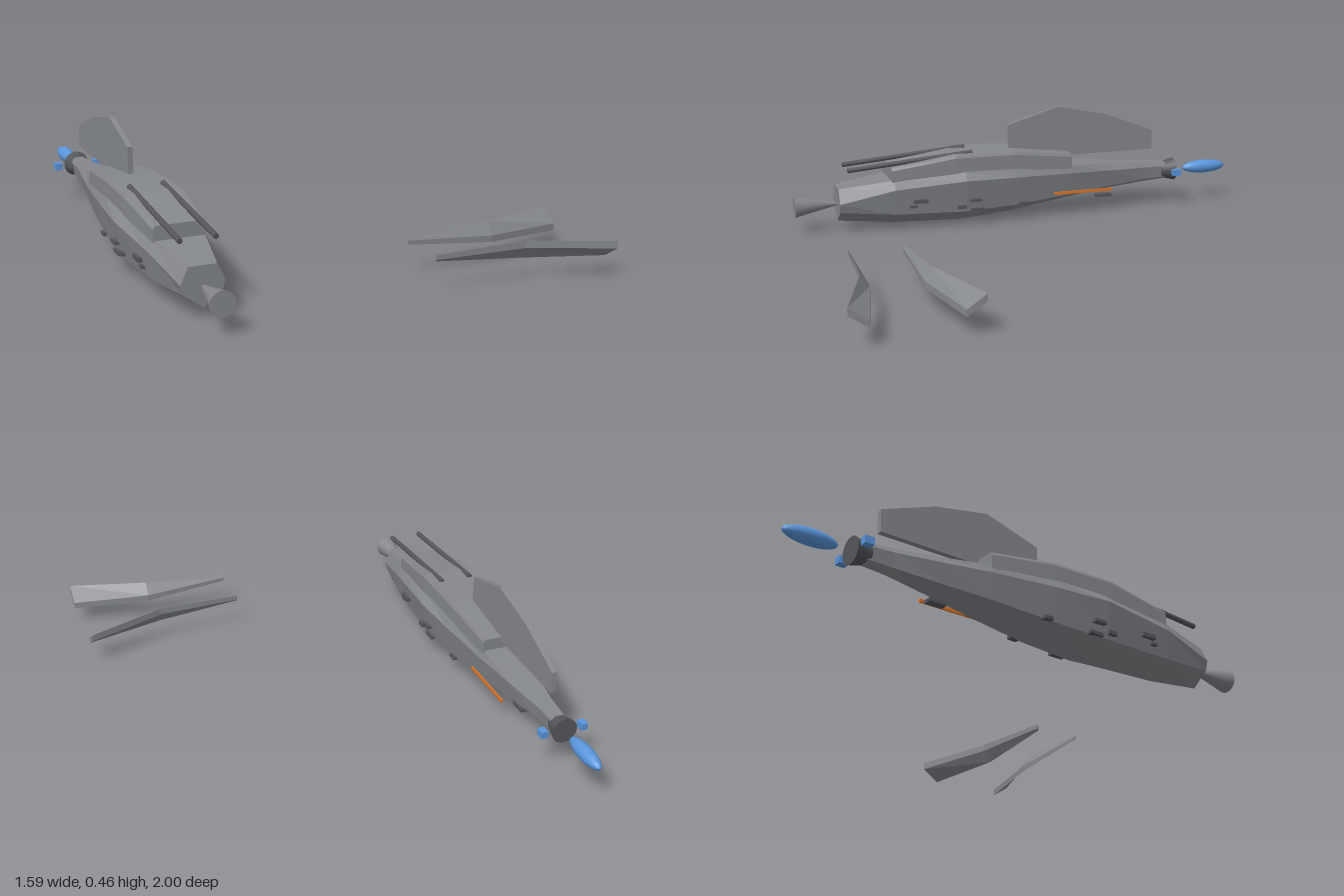
import * as THREE from 'three';

const mat = (name, color) => {
  const m = new THREE.MeshStandardMaterial({ color });
  m.name = name;
  return m;
};

// Faceted solid through rings of [x, y, z]; each ring is counter-clockwise seen from the far end
function loft(rings) {
  const pos = [];
  const tri = (a, b, c) => pos.push(...a, ...b, ...c);
  const n = rings[0].length;
  for (let i = 0; i < rings.length - 1; i++) {
    for (let j = 0; j < n; j++) {
      const k = (j + 1) % n;
      const [a, b, c, d] = [rings[i][j], rings[i][k], rings[i + 1][k], rings[i + 1][j]];
      tri(a, b, c);
      tri(a, c, d);
    }
  }
  const first = rings[0], last = rings[rings.length - 1];
  for (let j = 1; j < n - 1; j++) {
    tri(first[0], first[j + 1], first[j]);
    tri(last[0], last[j], last[j + 1]);
  }
  const g = new THREE.BufferGeometry();
  g.setAttribute('position', new THREE.Float32BufferAttribute(pos, 3));
  g.computeVertexNormals();
  return g;
}

export function createModel() {
  const grey = mat('hull grey', 0x85888d);
  const dark = mat('dark grey', 0x55575c);
  const blue = mat('engine blue', 0x5a96dc);
  const orange = mat('orange', 0xd9752b);

  const model = new THREE.Group();
  model.name = 'spacecraft';
  const ship = new THREE.Group();
  ship.name = 'ship';
  ship.position.x = -0.662;
  model.add(ship);

  const add = (parent, name, geo, material, x = 0, y = 0, z = 0) => {
    const m = new THREE.Mesh(geo, material);
    m.name = name;
    m.position.set(x, y, z);
    parent.add(m);
    return m;
  };

  // Hull: z, top half width and y, widest half width and y, low half width and y, keel y
  const hull = [
    [-0.70, 0.018, 0.188, 0.030, 0.170, 0.024, 0.122, 0.110],
    [-0.60, 0.022, 0.194, 0.035, 0.172, 0.028, 0.118, 0.103],
    [-0.42, 0.045, 0.207, 0.062, 0.178, 0.048, 0.105, 0.085],
    [-0.24, 0.078, 0.220, 0.090, 0.185, 0.072, 0.090, 0.060],
    [0.02, 0.100, 0.233, 0.118, 0.192, 0.095, 0.068, 0.020],
    [0.24, 0.108, 0.230, 0.134, 0.196, 0.105, 0.060, 0.002],
    [0.54, 0.092, 0.213, 0.112, 0.175, 0.092, 0.068, 0.014],
    [0.765, 0.050, 0.185, 0.078, 0.125, 0.066, 0.088, 0.040],
  ];
  add(ship, 'hull', loft(hull.map(([z, tw, ty, mw, my, lw, ly, ky]) => [
    [0, ky, z], [lw, ly, z], [mw, my, z], [tw, ty, z],
    [-tw, ty, z], [-mw, my, z], [-lw, ly, z],
  ])), grey);

  // Raised deck: z, base half width, top half width, top y
  const deck = [
    [-0.24, 0.084, 0.078, 0.268],
    [0.02, 0.103, 0.097, 0.299],
    [0.28, 0.108, 0.102, 0.303],
    [0.55, 0.095, 0.086, 0.265],
  ];
  add(ship, 'upperDeck', loft(deck.map(([z, b, t, y]) => [
    [-b, 0.205, z], [b, 0.205, z], [b, y - 0.012, z],
    [t, y, z], [-t, y, z], [-b, y - 0.012, z],
  ])), grey);

  // Dorsal fin, drawn in (z, y) and extruded across x
  const finShape = new THREE.Shape([
    [-0.02, 0.25], [0.64, 0.25], [0.64, 0.335], [0.42, 0.42], [0.2, 0.465], [-0.02, 0.4],
  ].map(([u, y]) => new THREE.Vector2(u, y)));
  const finGeo = new THREE.ExtrudeGeometry(finShape, { depth: 0.02, bevelEnabled: false });
  finGeo.translate(0, 0, -0.01).rotateY(Math.PI / 2);
  add(ship, 'dorsalFin', finGeo, grey);

  // Twin gun barrels lying on the deck
  for (const s of [-1, 1]) {
    const path = new THREE.LineCurve3(
      new THREE.Vector3(s * 0.062, 0.305, 0.20), new THREE.Vector3(s * 0.062, 0.262, 0.727));
    const barrel = add(ship, 'gunBarrel', new THREE.CylinderGeometry(0.01, 0.01, path.getLength(), 10), dark);
    barrel.position.copy(path.getPoint(0.5));
    barrel.quaternion.setFromUnitVectors(new THREE.Vector3(0, 1, 0), path.getTangent(0));
  }

  // Nose horn, engine bell and exhaust
  add(ship, 'noseCone', new THREE.CylinderGeometry(0.045, 0.006, 0.175, 24).rotateX(Math.PI / 2),
    grey, 0, 0.113, 0.853);
  add(ship, 'engineBell', new THREE.CylinderGeometry(0.033, 0.05, 0.065, 20).rotateX(Math.PI / 2),
    dark, 0, 0.15, -0.715);
  const flame = add(ship, 'exhaustGlow', new THREE.SphereGeometry(1, 24, 16), blue, 0, 0.15, -0.898);
  flame.scale.set(0.029, 0.029, 0.102);
  for (const s of [-1, 1]) {
    add(ship, 'sideThruster', new THREE.BoxGeometry(0.027, 0.027, 0.035), blue, s * 0.08, 0.15, -0.732);
  }

  // Flank stripe and belly plate
  add(ship, 'orangeBar', new THREE.BoxGeometry(0.007, 0.012, 0.265), orange, 0.085, 0.1, -0.29);
  add(ship, 'bellyPlate', new THREE.BoxGeometry(0.03, 0.012, 0.07), dark, 0, 0.056, -0.415);

  // Small hull fittings on both flanks: x, y, z, height, length
  const fittings = [
    [0.110, 0.122, 0.435, 0.016, 0.06],
    [0.102, 0.100, 0.465, 0.010, 0.03],
    [0.118, 0.110, 0.200, 0.012, 0.05],
    [0.111, 0.084, 0.260, 0.014, 0.035],
    [0.105, 0.067, 0.190, 0.012, 0.06],
    [0.094, 0.074, -0.015, 0.012, 0.038],
  ];
  for (const s of [-1, 1]) {
    for (const [x, y, z, h, l] of fittings) {
      add(ship, 'hullFitting', new THREE.BoxGeometry(0.025, h, l), dark, s * x, y, z);
    }
  }

  // Detached pair of swept blades mirrored about z = 0.766:
  // x, outer z, outer top y, outer bottom y, inner z, inner top y, inner bottom y
  const blade = [
    [0.14, 0.663, 0.140, 0.122, 0.669, 0.130, 0.115],
    [0.48, 0.640, 0.152, 0.125, 0.672, 0.105, 0.080],
    [0.79, 0.537, 0.140, 0.113, 0.608, 0.092, 0.066],
  ];
  const rings = blade.map(([x, oz, ot, ob, iz, it, ib]) => [
    [x, ob, oz], [x, ot, oz], [x, it, iz], [x, ib, iz],
  ]);
  const mirrored = rings.map((r) => r.map(([x, y, z]) => [x, y, 1.532 - z]).reverse());
  add(model, 'rearBlade', loft(rings), grey);
  add(model, 'frontBlade', loft(mirrored), grey);

  return model;
}
